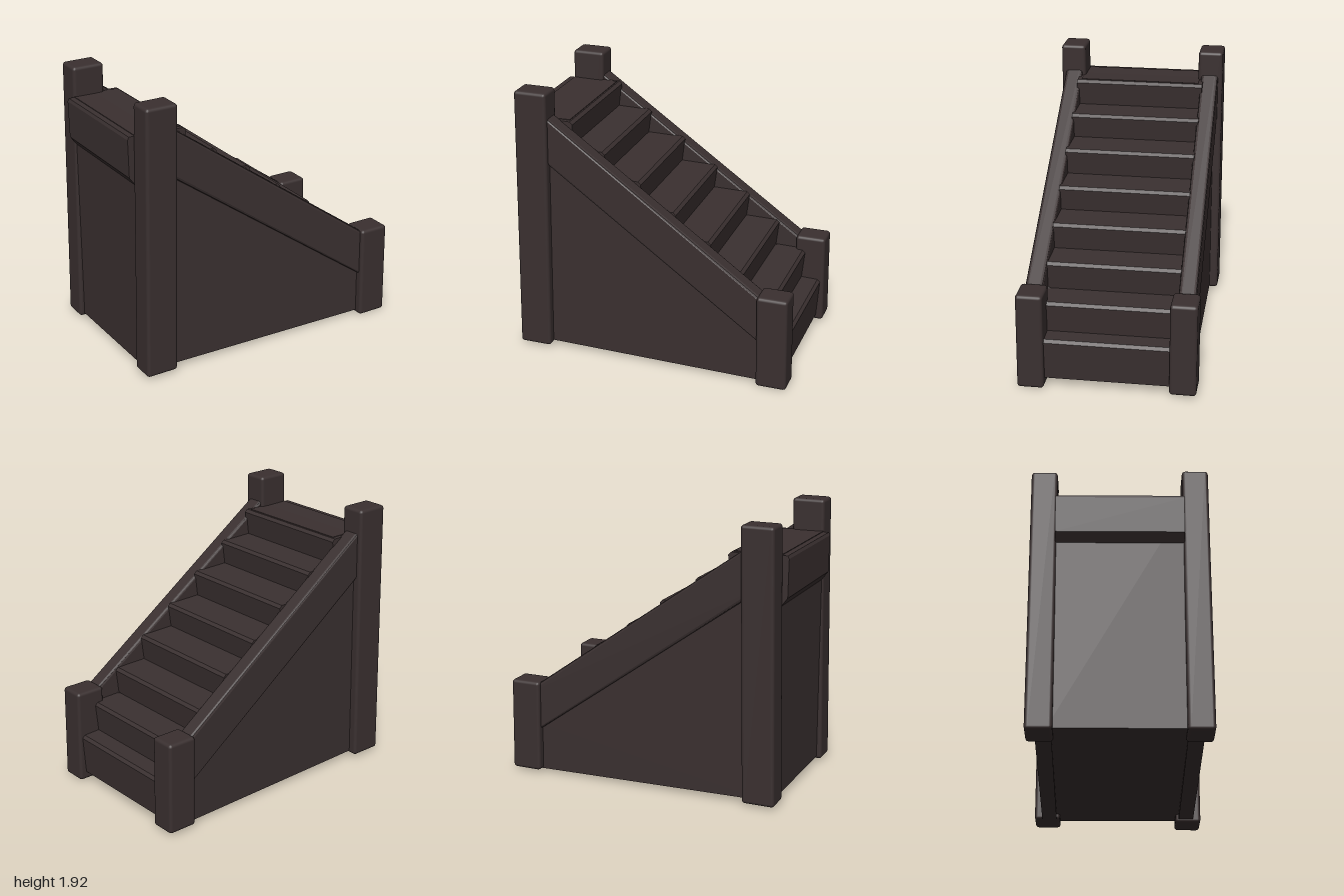
import * as THREE from 'three';
import { RoundedBoxGeometry } from 'three/addons/geometries/RoundedBoxGeometry.js';

const darkWood = new THREE.MeshStandardMaterial({ color: 0x3a3030 });

function add(group, name, geometry) {
  const mesh = new THREE.Mesh(geometry, darkWood);
  mesh.name = name;
  group.add(mesh);
  return mesh;
}

// Side outline (x, y) extruded between two z values, with an optional soft edge.
function slab(points, z0, z1, bevel = 0) {
  const shape = new THREE.Shape(points.map(([x, y]) => new THREE.Vector2(x, y)));
  const geometry = new THREE.ExtrudeGeometry(shape, {
    depth: z1 - z0 - 2 * bevel,
    bevelEnabled: bevel > 0,
    bevelThickness: bevel,
    bevelSize: bevel,
    bevelOffset: -bevel,
    bevelSegments: 2,
  });
  return geometry.translate(0, 0, z0 + bevel);
}

// Rounded post whose -x side leans in towards the top by `lean`.
function post(x0, x1, y0, y1, z0, z1, lean) {
  const geometry = new RoundedBoxGeometry(x1 - x0, y1 - y0, z1 - z0, 2, 0.022);
  geometry.translate((x0 + x1) / 2, (y0 + y1) / 2, (z0 + z1) / 2);
  const p = geometry.attributes.position;
  for (let i = 0; i < p.count; i++) {
    p.setX(i, p.getX(i) + lean * (p.getY(i) - y0) / (y1 - y0));
  }
  geometry.computeBoundingSphere();
  return geometry;
}

// Spreads a side part slightly outward towards the foot of the stair.
function splay(geometry, side) {
  const p = geometry.attributes.position;
  for (let i = 0; i < p.count; i++) {
    p.setZ(i, p.getZ(i) + side * 0.01 * p.getX(i));
  }
  geometry.computeVertexNormals();
  return geometry;
}

export function createModel() {
  const model = new THREE.Group();
  model.name = 'staircase';

  // Solid flight: nose position and tread height of each step, top to bottom
  const steps = [
    [-0.59, 1.70], [-0.36, 1.51], [-0.10, 1.33], [0.15, 1.14],
    [0.40, 0.96], [0.63, 0.77], [0.84, 0.57], [0.96, 0.35],
  ];
  const outline = [[-0.95, 0.04], [0.94, 0.06]];
  for (let i = steps.length - 1; i >= 0; i--) {
    const [nose, height] = steps[i];
    const back = i > 0 ? steps[i - 1][0] - 0.02 : -0.95;
    outline.push([nose, height - 0.02], [nose - 0.02, height], [back, height + 0.005]);
  }
  add(model, 'steps', slab(outline, -0.46, 0.46));

  // Top landing that overhangs the back
  add(model, 'landing', slab(
    [[-0.95, 1.36], [-0.62, 1.36], [-0.62, 1.705], [-0.99, 1.70], [-1, 1.68], [-0.995, 1.42]],
    -0.43, 0.43));

  // Sloped beam outline between the posts
  const railTop = (x) => 1.22 - 0.713 * x;
  const drop = 0.34;
  const a = -0.86;
  const b = 0.88;
  const beam = [[a, railTop(a) - drop], [b, railTop(b) - drop], [b, railTop(b)], [a, railTop(a)]];
  const panel = [[-0.9, 0.04], [0.9, 0.02], [0.9, railTop(0.9) - 0.2], [-0.9, railTop(-0.9) - 0.2]];

  for (const side of [1, -1]) {
    const label = side > 0 ? 'left' : 'right';
    const range = (inner, outer) => (side > 0 ? [inner, outer] : [-outer, -inner]);
    add(model, label + 'SidePanel', splay(slab(panel, ...range(0.44, 0.545)), side));
    add(model, label + 'SlopedBeam', splay(slab(beam, ...range(0.45, 0.572), 0.02), side));
    add(model, label + 'TopPost',
      post(-0.985, -0.755, 0.02, side > 0 ? 1.925 : 1.91, ...range(0.42, 0.597), 0.033));
    add(model, label + 'BottomPost',
      post(0.775, 0.99, side > 0 ? 0 : 0.02, 0.675, ...range(0.425, 0.608), -0.008));
  }
  return model;
}
